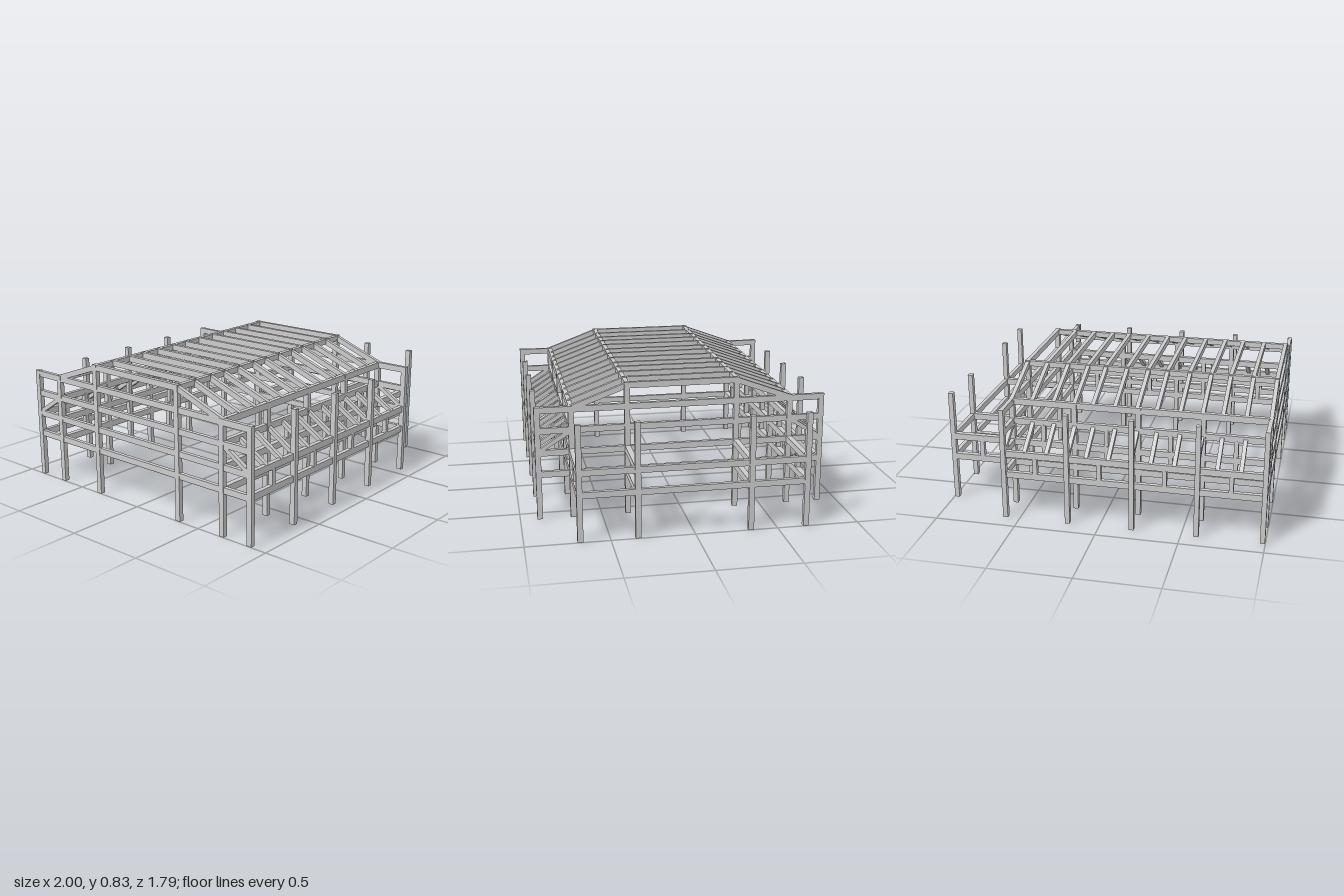
import * as THREE from 'three';

const material = new THREE.MeshStandardMaterial({ color: 0xcccccc });

export function createModel() {
  const model = new THREE.Group();
  model.name = 'timberFrame';

  function part(name) {
    const g = new THREE.Group();
    g.name = name;
    model.add(g);
    return g;
  }
  // Box given by its extents on each axis
  function beam(group, name, x0, x1, y0, y1, z0, z1) {
    const m = new THREE.Mesh(new THREE.BoxGeometry(x1 - x0, y1 - y0, z1 - z0), material);
    m.position.set((x0 + x1) / 2, (y0 + y1) / 2, (z0 + z1) / 2);
    m.name = name;
    group.add(m);
  }
  const post = (g, name, x, z, y0, y1, w = 0.03, d = 0.034) =>
    beam(g, name, x - w / 2, x + w / 2, y0, y1, z - d / 2, z + d / 2);
  const railX = (g, name, x0, x1, y, z, h = 0.04, d = 0.028) =>
    beam(g, name, x0, x1, y - h / 2, y + h / 2, z - d / 2, z + d / 2);
  const railZ = (g, name, x, y, z0, z1, h = 0.038, w = 0.025) =>
    beam(g, name, x - w / 2, x + w / 2, y - h / 2, y + h / 2, z0, z1);
  // Sloping timber in the y-z plane, between (za, ya) and (zb, yb)
  function rafter(g, name, x, za, ya, zb, yb, h, w = 0.025) {
    const dz = zb - za, dy = yb - ya;
    const m = new THREE.Mesh(new THREE.BoxGeometry(w, h, Math.hypot(dz, dy)), material);
    m.position.set(x, (ya + yb) / 2, (za + zb) / 2);
    m.rotation.x = -Math.atan2(dy, dz);
    m.name = name;
    g.add(m);
  }

  const bays = [-0.983, -0.59, -0.198, 0.197, 0.59];
  const rafterXs = [-0.983, -0.84, -0.702, -0.582, -0.45, -0.31, -0.19, -0.055, 0.08, 0.195, 0.325, 0.46, 0.59];
  const [left, right, end] = [-0.983, 0.59, 0.983];
  const OUT = 0.88, WALL = 0.677, RIDGE = 0.338;
  const LOW = 0.285, MID = 0.42;

  const posts = part('posts');
  const rails = part('wallRails');
  const struts = part('shortPosts');
  const roof = part('roofTimbers');
  const deck = part('sideDeck');

  for (const s of [1, -1]) {
    // Porch and wall posts
    for (const x of bays) {
      post(posts, 'porchPost', x, s * OUT, 0, 0.705);
      post(posts, 'wallPost', x, s * WALL, 0, 0.705);
    }
    for (const x of [left, right]) post(posts, 'gablePost', x, s * RIDGE, 0, 0.835);

    // Long rails on the porch and wall lines
    for (const y of [LOW, MID]) {
      railX(rails, 'porchRail', -0.995, 0.602, y, s * 0.872);
      railX(rails, 'wallRail', -0.995, 0.995, y, s * WALL, 0.04, 0.034);
    }
    railX(rails, 'upperWallRail', -0.995, 0.602, 0.557, s * WALL);
    railX(rails, 'eavesBeam', -0.995, 0.602, 0.685, s * WALL);
    railX(roof, 'roofPurlin', -0.995, 0.602, 0.815, s * RIDGE, 0.034);

    // Short posts halfway along each bay
    for (const x of [-0.787, -0.394, 0, 0.394]) {
      post(struts, 'porchStrut', x, s * 0.872, 0.3, 0.405, 0.027, 0.03);
      post(struts, 'wallStrut', x, s * WALL, 0.3, 0.545, 0.027, 0.03);
    }
    post(struts, 'deckStrut', 0.795, s * WALL, 0.3, 0.405, 0.027, 0.03);

    // Main slope and porch rafters
    for (const x of rafterXs) {
      rafter(roof, 'roofRafter', x, s * 0.685, 0.688, s * 0.335, 0.817, 0.034);
      rafter(roof, 'porchRafter', x, s * 0.872, 0.43, s * 0.68, 0.553, 0.026);
    }

    // Deck posts and cross beams
    for (const z of [WALL, RIDGE]) post(deck, 'deckPost', end, s * z, 0, 0.705);
    for (const y of [LOW, MID])
      railX(deck, 'deckCrossBeam', right, end, y, s * RIDGE, 0.04, 0.034);
  }

  // Flat joists across the top of the roof
  for (const x of rafterXs) railZ(roof, 'roofJoist', x, 0.816, -0.345, 0.345, 0.037);

  // Cross rails at both ends of the house and the end of the deck
  for (const x of [left, right])
    for (const y of [LOW, MID, 0.557, 0.685]) railZ(rails, 'endRail', x, y, -OUT, OUT);
  for (const y of [LOW, MID]) railZ(deck, 'deckEndRail', end, y, -WALL, WALL);

  return model;
}
